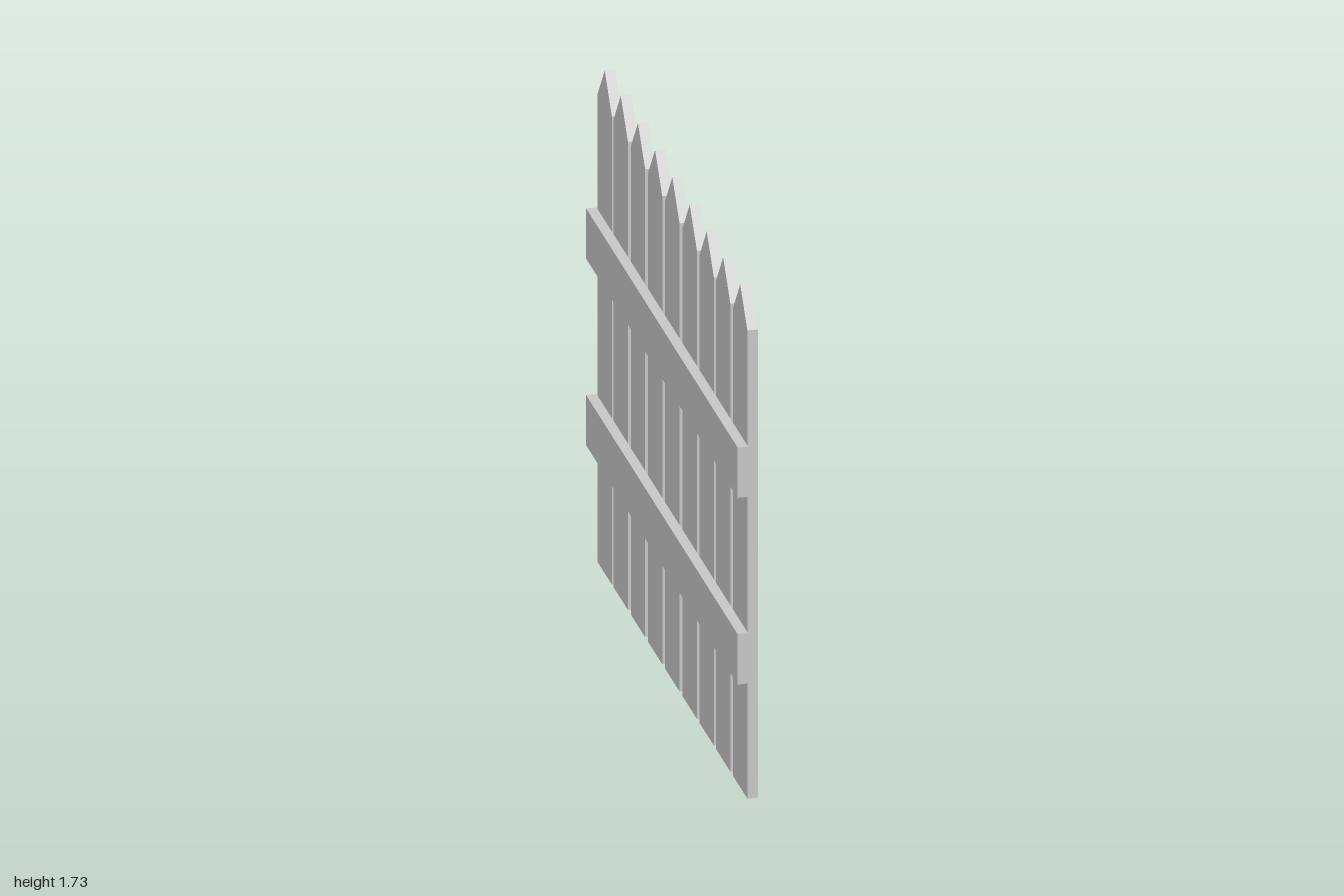
import * as THREE from 'three';

const THICKNESS = 0.034;
const PICKET_WIDTH = 0.19;
const SHOULDER = 1.61;
const PEAK = 1.73;

export function createModel() {
  const fence = new THREE.Group();
  fence.name = 'picketFence';
  const material = new THREE.MeshStandardMaterial({ color: 0xcccccc, flatShading: true });

  // Pointed board outline, extruded and turned so its face looks along +x
  const h = PICKET_WIDTH / 2;
  const outline = new THREE.Shape([
    new THREE.Vector2(-h, 0),
    new THREE.Vector2(h, 0),
    new THREE.Vector2(h, SHOULDER),
    new THREE.Vector2(0, PEAK),
    new THREE.Vector2(-h, SHOULDER),
  ]);
  const picketGeometry = new THREE.ExtrudeGeometry(outline, { depth: THICKNESS, bevelEnabled: false });
  picketGeometry.rotateY(Math.PI / 2);

  // Pickets, slightly unevenly spaced along z
  const centres = [0.896, 0.671, 0.454, 0.23, 0, -0.228, -0.454, -0.681, -0.893];
  centres.forEach((z, i) => {
    const picket = new THREE.Mesh(picketGeometry, material);
    picket.name = `picket${i + 1}`;
    picket.position.z = z;
    fence.add(picket);
  });

  // Two horizontal rails behind the pickets
  const railGeometry = new THREE.BoxGeometry(THICKNESS, 0.173, 2);
  for (const [name, y] of [['lowerRail', 0.486], ['upperRail', 1.128]]) {
    const rail = new THREE.Mesh(railGeometry, material);
    rail.name = name;
    rail.position.set(-THICKNESS / 2, y, 0);
    fence.add(rail);
  }

  return fence;
}
